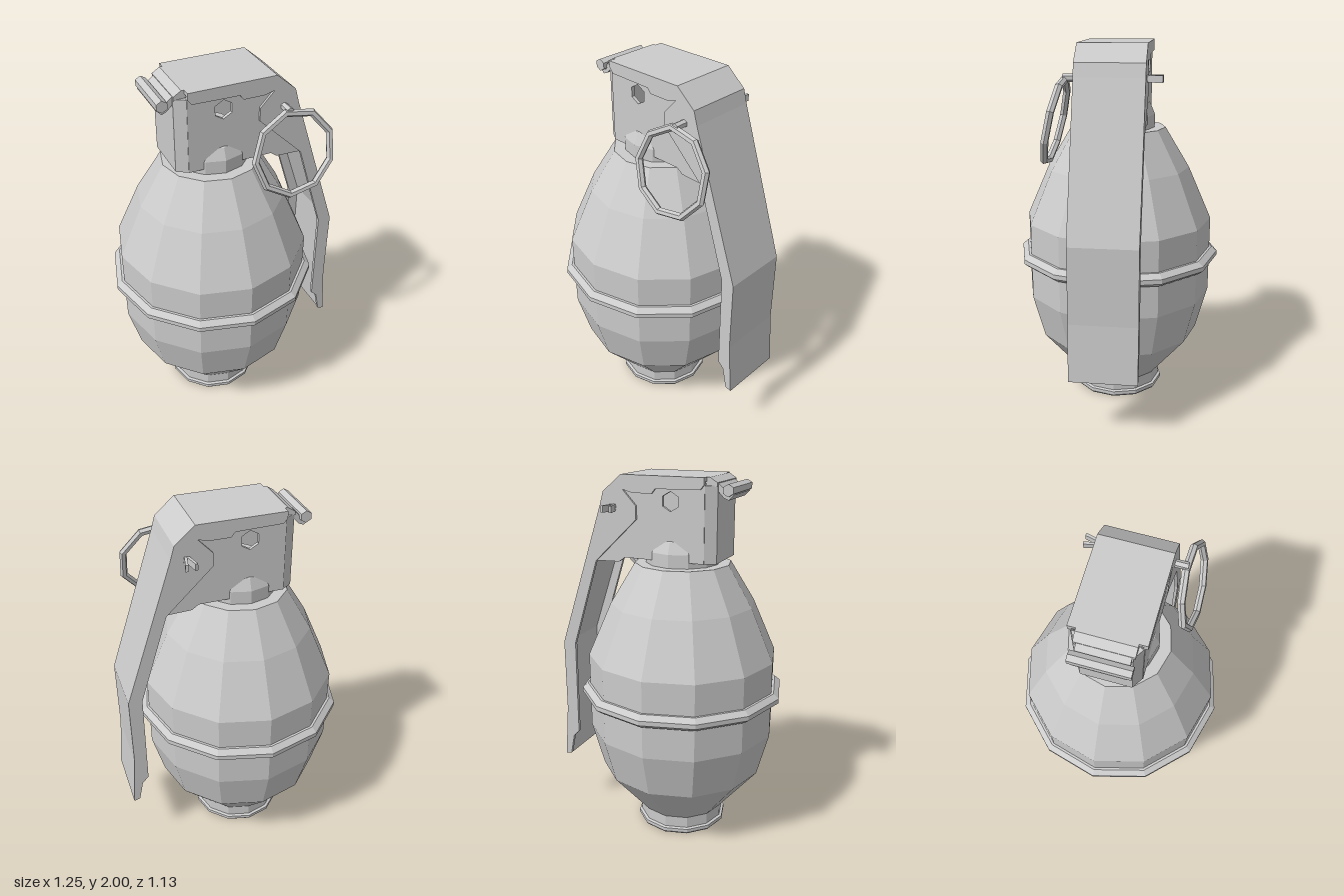
import * as THREE from 'three';

const AXIS_X = -0.065; // the body axis sits left of the lever
const mat = new THREE.MeshStandardMaterial({ color: 0xcccccc, flatShading: true });

function add(parent, name, geometry, x = 0, y = 0, z = 0) {
  const m = new THREE.Mesh(geometry, mat);
  m.name = name;
  m.position.set(x, y, z);
  parent.add(m);
  return m;
}

const toShape = (pts) => new THREE.Shape(pts.map(([x, y]) => new THREE.Vector2(x, y)));

// Extrudes a side profile between two z positions
function slab(shape, z0, z1) {
  const g = new THREE.ExtrudeGeometry(shape, { depth: z1 - z0, bevelEnabled: false });
  return g.translate(0, 0, z0);
}

// Twelve-sided turned part, profile given as [radius, y] from bottom to top
const turned = (pts) => new THREE.LatheGeometry(pts.map(([r, y]) => new THREE.Vector2(r, y)), 12);

export function createModel() {
  const model = new THREE.Group();
  model.name = 'model';

  // Faceted body with its foot and neck
  add(model, 'body', turned([
    [0, 0], [0.247, 0], [0.255, 0.01], [0.255, 0.03], [0.24, 0.035], [0.24, 0.1],
    [0.457, 0.36], [0.522, 0.605], [0.522, 1.03], [0.394, 1.32], [0.26, 1.54], [0.2, 1.54],
  ]), AXIS_X);
  add(model, 'belt', turned([
    [0.515, 0.79], [0.54, 0.79], [0.565, 0.81], [0.565, 0.835], [0.535, 0.86], [0.515, 0.86],
  ]), AXIS_X);
  add(model, 'neck', turned([[0.2, 1.53], [0.2, 1.61], [0.175, 1.67], [0.1, 1.73], [0, 1.74]]), AXIS_X);

  // Housing: two side walls with a hexagonal hole, and a chamfered end
  const wall = toShape([
    [-0.25, 1.97], [-0.25, 1.57], [0.2, 1.57], [0.235, 1.545], [0.37, 1.54],
    [0.31, 1.82], [0.28, 1.89], [0.19, 1.97],
  ]);
  const hole = new THREE.Path();
  for (let i = 0; i < 6; i++) {
    const a = Math.PI / 6 + (i * Math.PI) / 3;
    const p = [AXIS_X + 0.05 * Math.cos(a), 1.875 + 0.05 * Math.sin(a)];
    if (i) hole.lineTo(...p); else hole.moveTo(...p);
  }
  hole.closePath();
  wall.holes.push(hole);
  const end = toShape([[-0.245, -0.168], [-0.245, 0.168], [-0.305, 0.13], [-0.305, -0.13]]);
  const endGeo = new THREE.ExtrudeGeometry(end, { depth: 0.39, bevelEnabled: false });
  endGeo.rotateX(-Math.PI / 2);
  add(model, 'housingEnd', endGeo, 0, 1.57, 0);

  // Lever: a bent strip with a flange down each side
  const outer = [
    [-0.25, 2], [0.21, 2], [0.315, 1.91], [0.335, 1.84], [0.6, 1.05], [0.6, 0.64], [0.625, 0.33],
  ];
  const strip = toShape([
    ...outer, [0.6, 0.33], [0.582, 0.64], [0.582, 1.05], [0.317, 1.84], [0.298, 1.905],
    [0.203, 1.98], [-0.25, 1.98],
  ]);
  const flange = toShape([
    ...outer, [0.59, 0.34], [0.565, 0.46], [0.53, 0.495], [0.525, 1.05], [0.37, 1.54],
    [0.125, 1.775], [0.125, 1.845], [0.2, 1.925], [0.145, 1.91], [0.035, 1.91],
    [0.015, 1.935], [-0.23, 1.94], [-0.25, 1.965],
  ]);
  add(model, 'leverStrip', slab(strip, -0.165, 0.165));
  for (const [side, s] of [['front', 1], ['back', -1]]) {
    const z = (a, b) => (s > 0 ? [a, b] : [-b, -a]);
    add(model, side + 'HousingWall', slab(wall, ...z(0.15, 0.168)));
    add(model, side + 'LeverFlange', slab(flange, ...z(0.162, 0.18)));
  }

  // Hinge: tab, hook and hexagonal pin at the end of the lever
  add(model, 'hingeTab', slab(toShape([
    [-0.24, 2], [-0.265, 2], [-0.305, 1.975], [-0.305, 1.955], [-0.24, 1.955],
  ]), -0.14, 0.14));
  add(model, 'hingeHook', slab(toShape([
    [-0.3, 1.975], [-0.33, 1.95], [-0.345, 1.915], [-0.39, 1.92], [-0.36, 1.89],
    [-0.335, 1.9], [-0.3, 1.935],
  ]), -0.125, 0.125));
  const hinge = add(model, 'hingePin', new THREE.CylinderGeometry(0.031, 0.031, 0.29, 6), -0.363, 1.94, 0);
  hinge.rotation.x = Math.PI / 2;

  // Safety pin with two splayed prongs behind the lever
  const pin = add(model, 'safetyPin', new THREE.CylinderGeometry(0.02, 0.02, 0.43, 6), 0.255, 1.83, 0.03);
  pin.rotation.x = Math.PI / 2;
  for (const s of [-1, 1]) {
    const prong = add(model, 'pinProng', new THREE.BoxGeometry(0.014, 0.035, 0.09),
      0.255 + s * 0.014, 1.83, -0.217);
    prong.rotation.y = -s * 0.22;
  }

  // Pull ring, hanging at a tilt; one corner points to -x
  const ringGeo = new THREE.TorusGeometry(0.216, 0.02, 6, 9);
  ringGeo.rotateZ(Math.PI);
  const ring = add(model, 'pullRing', ringGeo, 0.27, 1.615, 0.283);
  ring.rotation.x = -0.22;

  return model;
}
